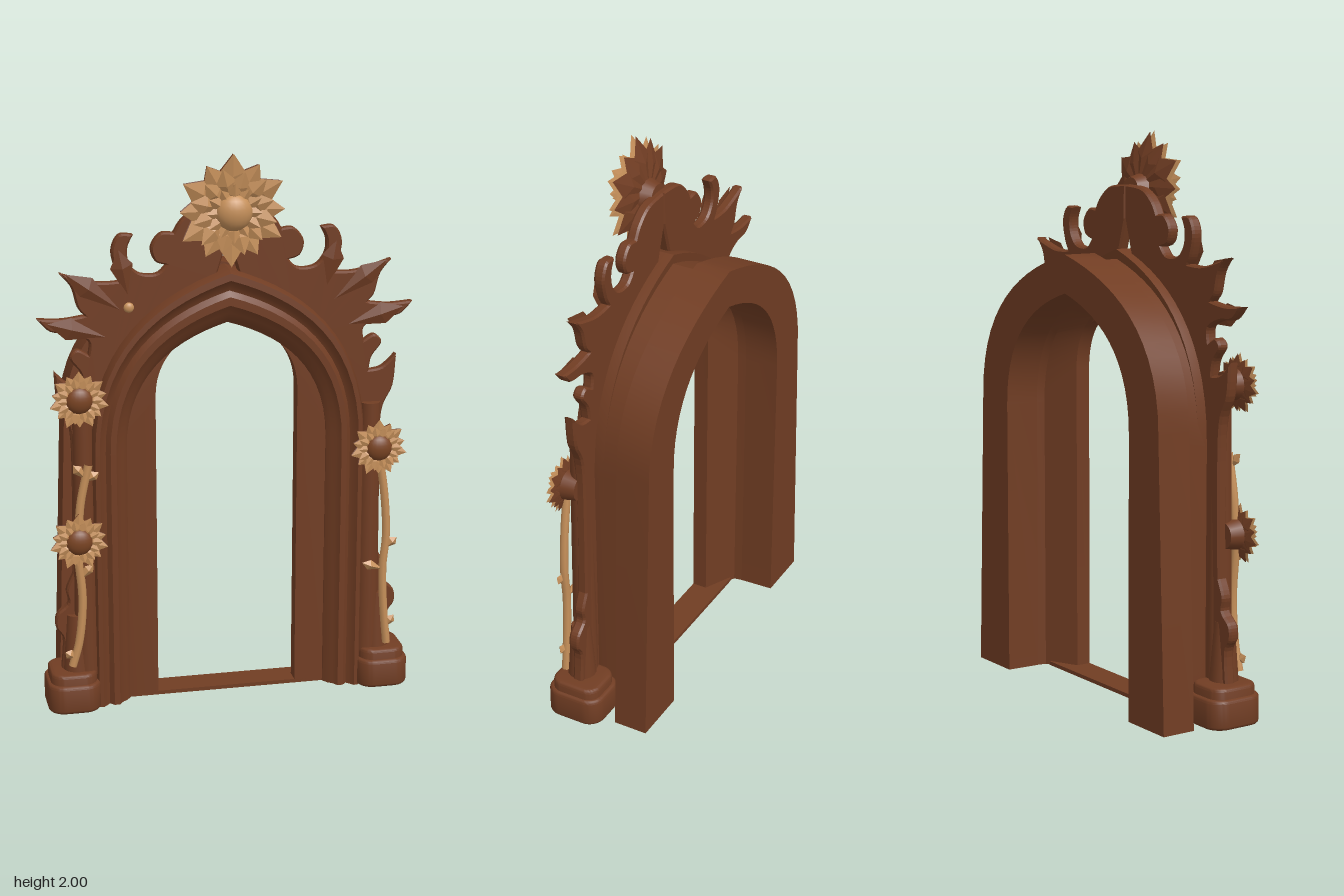
import * as THREE from 'three';
import { mergeGeometries, toCreasedNormals } from 'three/addons/utils/BufferGeometryUtils.js';
import { ConvexGeometry } from 'three/addons/geometries/ConvexGeometry.js';

const wood = new THREE.MeshStandardMaterial({ name: 'brown wood', color: 0x713d23 });
const tan = new THREE.MeshStandardMaterial({ name: 'tan petals', color: 0xc6905a });
const seed = new THREE.MeshStandardMaterial({ name: 'seed brown', color: 0x7a4423 });

function add(parent, name, geometry, material, x = 0, y = 0, z = 0) {
  const mesh = new THREE.Mesh(geometry, material);
  mesh.name = name;
  mesh.position.set(x, y, z);
  parent.add(mesh);
  return mesh;
}

// Sweeps a closed profile over a pointed arch.
// Each point is [half width, apex height, spring height, z, extra width at the foot].
function archGeometry(profile, steps = 14) {
  const n = profile.length, rows = [];
  const at = (p, s) => {
    const [w, h, ys, z, flare = 0] = p;
    if (s === 0) return [w + flare, 0, z];
    const t = (s - 1) / steps, u = 1 - t, rise = h - ys;
    const b = [u * u * u, 3 * u * u * t, 3 * u * t * t, t * t * t];
    return [w * (b[0] + b[1] + 0.54 * b[2]),
      ys * b[0] + (ys + 0.6 * rise) * b[1] + (h - 0.13 * rise) * b[2] + h * b[3], z];
  };
  for (let s = 0; s <= steps + 1; s++) rows.push(profile.map(p => at(p, s)));
  for (let s = steps; s >= 0; s--) rows.push(rows[s].map(([x, y, z]) => [-x, y, z]));
  const pos = rows.flat(2), index = [];
  for (let i = 0; i < rows.length - 1; i++) {
    for (let j = 0; j < n; j++) {
      const k = (j + 1) % n, a = i * n + j, b = a + n, c = (i + 1) * n + k, d = i * n + k;
      index.push(a, b, c, a, c, d);
    }
  }
  // feet
  [0, rows.length - 1].forEach((r, end) => {
    const c = pos.length / 3;
    pos.push(...[0, 1, 2].map(q => rows[r].reduce((sum, p) => sum + p[q] / n, 0)));
    for (let j = 0; j < n; j++) {
      const a = r * n + j, b = r * n + (j + 1) % n;
      index.push(c, end ? b : a, end ? a : b);
    }
  });
  const g = new THREE.BufferGeometry();
  g.setAttribute('position', new THREE.Float32BufferAttribute(pos, 3));
  g.setIndex(index);
  return toCreasedNormals(g, 0.6);
}

// Half of the carved back plate: smooth runs that meet in sharp corners
const plateRuns = [
  [[0, 1.69], [0, 1.81]],
  [[0, 1.81], [0.1, 1.8], [0.16, 1.76], [0.19, 1.715]],
  [[0.19, 1.715], [0.235, 1.715], [0.268, 1.67], [0.255, 1.62], [0.215, 1.605]],
  [[0.215, 1.605], [0.25, 1.575], [0.31, 1.58], [0.345, 1.62], [0.35, 1.67], [0.33, 1.715]],
  [[0.33, 1.715], [0.38, 1.715], [0.405, 1.66], [0.39, 1.59], [0.37, 1.555]],
  [[0.37, 1.555], [0.46, 1.555], [0.585, 1.59]],
  [[0.585, 1.59], [0.545, 1.54], [0.525, 1.47], [0.5, 1.44]],
  [[0.5, 1.44], [0.58, 1.43], [0.665, 1.435]],
  [[0.665, 1.435], [0.62, 1.39], [0.55, 1.38], [0.49, 1.35], [0.49, 1.3]],
  [[0.49, 1.3], [0.53, 1.32], [0.555, 1.29], [0.52, 1.24], [0.51, 1.19]],
  [[0.51, 1.19], [0.56, 1.2], [0.61, 1.245]],
  [[0.61, 1.245], [0.6, 1.13], [0.56, 1.03], [0.555, 0.8], [0.56, 0.5]],
  [[0.56, 0.5], [0.585, 0.44], [0.58, 0.39], [0.62, 0.35], [0.625, 0.3], [0.6, 0.25], [0.61, 0.12]],
  [[0.61, 0.12], [0.46, 0.12]],
  [[0.46, 0.12], [0.46, 1.0]],
  [[0.46, 1.0], [0.41, 1.2], [0.29, 1.37], [0.13, 1.48], [0.04, 1.56]],
];

function plateGeometry(side) {
  const points = [];
  for (const run of plateRuns) {
    const v = run.map(([x, y]) => new THREE.Vector2(x * side, y));
    const pts = v.length > 2 ? new THREE.SplineCurve(v).getPoints(v.length * 4) : v;
    points.push(...pts.slice(0, -1));
  }
  points.push(new THREE.Vector2(0.04 * side, 1.56));
  return new THREE.ExtrudeGeometry(new THREE.Shape(points), {
    depth: 0.024, bevelEnabled: true, bevelSize: 0.006, bevelOffset: -0.006, bevelThickness: 0.008, bevelSegments: 1 });
}

// Upright block with a rounded plan and a softened rim, standing on y = 0
function footingGeometry(w, d, r, h, bevel) {
  const x = w / 2, y = d / 2, s = new THREE.Shape();
  s.absarc(x - r, y - r, r, 0, Math.PI / 2);
  s.absarc(r - x, y - r, r, Math.PI / 2, Math.PI);
  s.absarc(r - x, r - y, r, Math.PI, Math.PI * 1.5);
  s.absarc(x - r, r - y, r, Math.PI * 1.5, Math.PI * 2);
  const g = new THREE.ExtrudeGeometry(s, { depth: h - 2 * bevel, curveSegments: 6,
    bevelSize: bevel, bevelOffset: -bevel, bevelThickness: bevel, bevelSegments: 3 });
  g.translate(0, 0, bevel).rotateX(-Math.PI / 2);
  return toCreasedNormals(g, 0.7);
}

// Pointed petal or leaf growing along +y
function petalGeometry(length, width, thick) {
  return new ConvexGeometry([
    [0, 0, 0], [-width / 2, length * 0.65, 0], [width / 2, length * 0.65, 0], [0, length, 0.004],
    [0, length * 0.6, thick], [0, length * 0.5, -thick * 0.5],
  ].map(p => new THREE.Vector3(...p)));
}

function petalRing(count, length, width, thick, tilt, z, turn) {
  const parts = [];
  for (let i = 0; i < count; i++) {
    const g = petalGeometry(length * (i % 2 ? 0.92 : 1), width, thick);
    g.rotateX(tilt);
    g.rotateZ((i + turn) / count * Math.PI * 2);
    g.translate(0, 0, z);
    parts.push(g);
  }
  return mergeGeometries(parts);
}

function domeGeometry(r, height) {
  return new THREE.SphereGeometry(r, 20, 12).scale(1, 1, height / r);
}

function discGeometry(front, back, depth) {
  return new THREE.CylinderGeometry(front, back, depth, 20).rotateX(Math.PI / 2);
}

function smallFlower(parent, x, y) {
  const flower = new THREE.Group();
  flower.name = 'sunflower';
  flower.position.set(x, y, 0.122);
  add(flower, 'outerPetals', petalRing(14, 0.106, 0.05, 0.008, 0.12, 0.003, 0), tan);
  add(flower, 'innerPetals', petalRing(14, 0.085, 0.042, 0.008, 0.16, 0.013, 0.5), tan);
  add(flower, 'petalBacks', petalRing(14, 0.104, 0.05, 0.008, 0.12, -0.007, 0), wood);
  add(flower, 'seedHead', domeGeometry(0.049, 0.03), seed, 0, 0, 0.015);
  add(flower, 'flowerBack', discGeometry(0.055, 0.045, 0.05), wood, 0, 0, -0.03);
  parent.add(flower);
}

function stem(parent, points, leaves) {
  const curve = new THREE.CatmullRomCurve3(points.map(([x, y]) => new THREE.Vector3(x, y, 0.118)));
  add(parent, 'stem', new THREE.TubeGeometry(curve, 28, 0.015, 8), tan);
  for (const [x, y, angle, length] of leaves) {
    add(parent, 'leaf', petalGeometry(length, 0.038, 0.014), tan, x, y, 0.122).rotation.z = angle;
  }
}

export function createModel() {
  const model = new THREE.Group();
  model.name = 'carvedArchway';

  // Wide arch at the back, splayed inner jamb and moulded front frame
  add(model, 'backArch', archGeometry([
    [0.56, 1.575, 1.02, -0.215, 0.037], [0.56, 1.575, 1.02, -0.09, 0.037],
    [0.385, 1.44, 1.0, -0.09], [0.39, 1.44, 1.0, -0.215]]), wood);
  add(model, 'innerJamb', archGeometry([
    [0.49, 1.55, 0.97, -0.095], [0.49, 1.55, 0.95, 0.03], [0.37, 1.43, 1.0, 0.055],
    [0.255, 1.4, 1.13, 0.055], [0.255, 1.4, 1.13, 0.0], [0.38, 1.435, 1.0, -0.06], [0.386, 1.44, 1.0, -0.095]]), wood);
  add(model, 'frontMoulding', archGeometry([
    [0.49, 1.585, 0.95, 0.0], [0.49, 1.585, 0.95, 0.095], [0.48, 1.575, 0.95, 0.12],
    [0.465, 1.55, 0.95, 0.122], [0.45, 1.53, 0.95, 0.102], [0.44, 1.51, 0.95, 0.095],
    [0.425, 1.49, 0.95, 0.112], [0.405, 1.46, 0.95, 0.112], [0.39, 1.43, 0.95, 0.09],
    [0.375, 1.41, 0.95, 0.08], [0.36, 1.39, 0.95, 0.06], [0.36, 1.39, 0.95, 0.02]]), wood);
  add(model, 'sill', new THREE.BoxGeometry(0.72, 0.014, 0.11), wood, 0, 0.007, 0);

  // Carved plate, columns and footings on both sides
  for (const side of [1, -1]) {
    add(model, 'carvedPlate', plateGeometry(side), wood, 0, 0, 0.045);
    add(model, 'column', new THREE.CylinderGeometry(0.036, 0.044, 0.95, 16), wood, side * 0.517, 0.6, 0.075);
    add(model, 'columnFoot', new THREE.CylinderGeometry(0.035, 0.052, 0.22, 16), wood, side * 0.552, 0.24, 0.07);
    add(model, 'footing', footingGeometry(0.19, 0.215, 0.06, 0.105, 0.012), wood, side * 0.57, 0, 0.057);
    add(model, 'footingCap', footingGeometry(0.165, 0.185, 0.05, 0.143, 0.012), wood, side * 0.57, 0, 0.057);
    // Raised ribs along the spikes
    for (const [x, y, angle, length] of [[0.37, 1.45, -0.95, 0.24], [0.42, 1.36, -1.3, 0.22], [0.35, 1.5, -0.2, 0.17]]) {
      add(model, 'spikeRib', petalGeometry(length, 0.08, 0.012), wood, side * x, y, 0.076).rotation.z = side * angle;
    }
  }

  // Large flower on the crest
  const crest = new THREE.Group();
  crest.name = 'crestFlower';
  crest.position.set(0, 1.8, 0.12);
  add(crest, 'outerPetals', petalRing(12, 0.202, 0.092, 0.014, 0.17, -0.01, 0), tan);
  add(crest, 'petalBacks', petalRing(12, 0.198, 0.092, 0.02, 0.17, -0.027, 0), wood);
  add(crest, 'middlePetals', petalRing(12, 0.16, 0.075, 0.014, 0.2, 0.012, 0.5), tan);
  add(crest, 'innerPetals', petalRing(12, 0.11, 0.052, 0.014, 0.3, 0.03, 0), tan);
  add(crest, 'flowerHead', domeGeometry(0.065, 0.045), tan, 0, 0, 0.045);
  add(crest, 'flowerBack', discGeometry(0.07, 0.05, 0.05), wood, 0, -0.02, -0.035);
  crest.rotation.x = 0.08;
  model.add(crest);

  // Climbing sunflowers
  smallFlower(model, -0.535, 1.16);
  smallFlower(model, -0.545, 0.645);
  smallFlower(model, 0.535, 0.92);
  stem(model, [[-0.575, 0.17], [-0.55, 0.26], [-0.535, 0.42], [-0.55, 0.6]],
    [[-0.54, 0.5, -0.7, 0.07], [-0.56, 0.2, 1.0, 0.05]]);
  stem(model, [[-0.545, 0.66], [-0.535, 0.78], [-0.505, 0.92]],
    [[-0.52, 0.86, -1.0, 0.06], [-0.515, 0.87, 0.7, 0.07]]);
  stem(model, [[0.585, 0.16], [0.57, 0.32], [0.565, 0.46], [0.575, 0.58], [0.565, 0.74], [0.54, 0.9]],
    [[0.565, 0.45, 1.2, 0.085], [0.57, 0.53, -0.8, 0.06], [0.575, 0.22, -0.6, 0.06]]);
  add(model, 'bud', domeGeometry(0.018, 0.012), tan, -0.35, 1.465, 0.085);
  return model;
}
